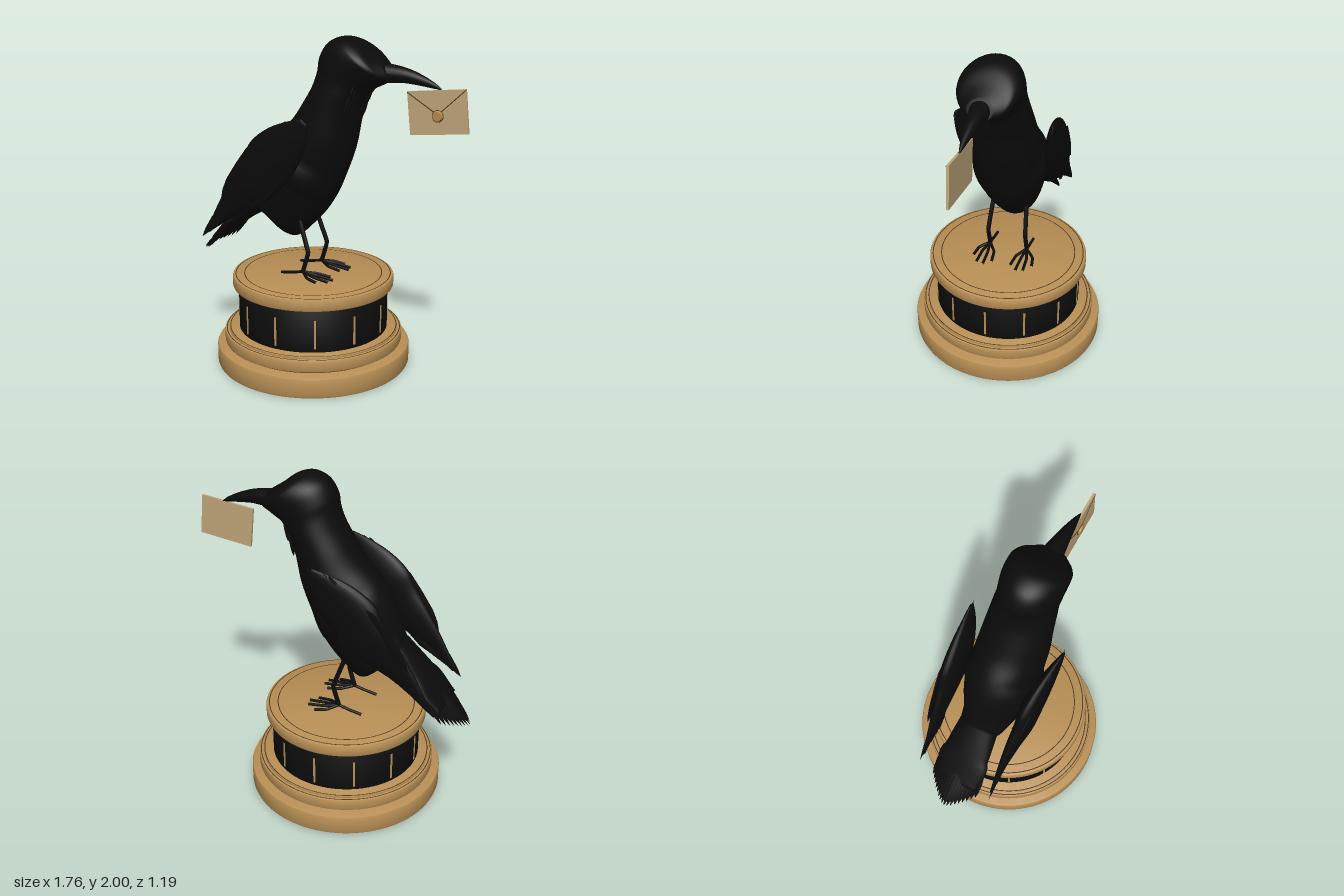
import * as THREE from 'three';
import { toCreasedNormals } from 'three/addons/utils/BufferGeometryUtils.js';

const mat = (name, color, side = THREE.FrontSide) => {
  const m = new THREE.MeshStandardMaterial({ color, side });
  m.name = name;
  return m;
};
const V = (x, y, z) => new THREE.Vector3(x, y, z);

// Loft of ellipses; each row is backX, backY, frontX, frontY, halfWidth, centreZ
function loft(rows, steps = 48, sides = 40) {
  const closed = (r) => {
    const x = (r[0] + r[2]) / 2, y = (r[1] + r[3]) / 2;
    return [x, y, x, y, 0, r[5] || 0];
  };
  const curve = (f) => new THREE.CatmullRomCurve3(rows.map(f));
  const back = curve((r) => V(r[0], r[1], 0));
  const front = curve((r) => V(r[2], r[3], 0));
  const width = curve((r) => V(r[4], r[5] || 0, 0));
  const rings = [closed(rows[0])];
  for (let i = 0; i <= steps; i++) {
    const b = back.getPoint(i / steps), f = front.getPoint(i / steps), w = width.getPoint(i / steps);
    rings.push([b.x, b.y, f.x, f.y, w.x, w.y]);
  }
  rings.push(closed(rows[rows.length - 1]));
  const pos = [], idx = [];
  rings.forEach(([bx, by, fx, fy, w, z], i) => {
    for (let j = 0; j < sides; j++) {
      const a = (j / sides) * Math.PI * 2, c = Math.cos(a);
      pos.push((bx + fx) / 2 + ((fx - bx) / 2) * c, (by + fy) / 2 + ((fy - by) / 2) * c, z + w * Math.sin(a));
      if (i === rings.length - 1) continue;
      const k = (j + 1) % sides, p = i * sides, q = p + sides;
      idx.push(p + j, q + j, p + k, p + k, q + j, q + k);
    }
  });
  const g = new THREE.BufferGeometry();
  g.setAttribute('position', new THREE.Float32BufferAttribute(pos, 3));
  g.setIndex(idx);
  g.computeVertexNormals();
  return g;
}

export function createModel() {
  const model = new THREE.Group();
  const black = mat('feather black', 0x0b0b0c);
  const drumBlack = mat('drum black', 0x0e0e0f);
  const gold = mat('pedestal gold', 0xb88f55);
  const groove = mat('groove brown', 0x4a3820);
  const paper = mat('envelope paper', 0xbfa579);
  const sealGold = mat('seal gold', 0xb58a4c);
  const eyeGrey = mat('eye grey', 0x34302b);

  const add = (parent, name, geo, material, x = 0, y = 0, z = 0) => {
    const m = new THREE.Mesh(geo, material);
    m.name = name;
    m.position.set(x, y, z);
    parent.add(m);
    return m;
  };

  // Pedestal: rounded discs, drum, grooves and twelve inlay strips
  const pedestal = new THREE.Group();
  pedestal.name = 'pedestal';
  pedestal.position.x = -0.085;
  model.add(pedestal);
  const disc = (name, r, y0, y1, bevel, material) => {
    const pts = [[0, y0], [r - bevel, y0], [r - bevel * 0.3, y0 + bevel * 0.3], [r, y0 + bevel],
      [r, y1 - bevel], [r - bevel * 0.3, y1 - bevel * 0.3], [r - bevel, y1], [0, y1]];
    const g = new THREE.LatheGeometry(pts.map((p) => new THREE.Vector2(...p)), 96);
    add(pedestal, name, toCreasedNormals(g, 0.6), material);
  };
  disc('bottomPlinth', 0.595, 0, 0.128, 0.014, gold);
  disc('plinthNeck', 0.52, 0.12, 0.15, 0.002, groove);
  disc('middleStep', 0.547, 0.14, 0.214, 0.01, gold);
  disc('stepRim', 0.52, 0.21, 0.226, 0.003, gold);
  disc('drum', 0.457, 0.22, 0.495, 0.002, drumBlack);
  disc('topPlate', 0.492, 0.488, 0.562, 0.012, gold);
  for (const [r, y] of [[0.42, 0.5625], [0.473, 0.5625], [0.514, 0.2265], [0.536, 0.2145]]) {
    const ring = add(pedestal, 'grooveRing', new THREE.RingGeometry(r - 0.003, r + 0.003, 96), groove, 0, y, 0);
    ring.rotation.x = -Math.PI / 2;
  }
  for (let i = 0; i < 12; i++) {
    const a = (i / 12) * Math.PI * 2;
    const s = add(pedestal, 'inlayStrip', new THREE.BoxGeometry(0.012, 0.175, 0.008), gold,
      0.457 * Math.sin(a), 0.335, 0.457 * Math.cos(a));
    s.rotation.y = a;
  }

  // Bird
  const bird = new THREE.Group();
  bird.name = 'bird';
  model.add(bird);
  add(bird, 'bodyAndHead', loft([
    [-0.50, 0.97, -0.46, 0.93, 0.08], [-0.46, 1.06, -0.34, 0.88, 0.13], [-0.43, 1.14, -0.20, 0.78, 0.15],
    [-0.40, 1.22, -0.08, 0.87, 0.185], [-0.36, 1.32, 0.03, 1.0, 0.205], [-0.29, 1.42, 0.12, 1.18, 0.205],
    [-0.19, 1.52, 0.185, 1.36, 0.2], [-0.12, 1.62, 0.22, 1.53, 0.188], [-0.06, 1.72, 0.265, 1.65, 0.178],
    [-0.03, 1.81, 0.31, 1.71, 0.17], [-0.02, 1.88, 0.36, 1.735, 0.172], [0.035, 1.965, 0.39, 1.75, 0.175],
    [0.13, 2.0, 0.405, 1.757, 0.172], [0.22, 1.98, 0.415, 1.76, 0.15], [0.31, 1.915, 0.425, 1.762, 0.11],
    [0.38, 1.868, 0.435, 1.765, 0.07]], 90), black);
  add(bird, 'beak', loft([
    [0.36, 1.865, 0.38, 1.75, 0.065], [0.50, 1.842, 0.50, 1.757, 0.043], [0.60, 1.807, 0.595, 1.748, 0.027],
    [0.68, 1.765, 0.67, 1.738, 0.012], [0.715, 1.738, 0.708, 1.733, 0.003]], 24, 24), black);

  // Flat pointed feather from a to b, its width lying along side
  const leaf = new THREE.LatheGeometry([[0.0, 0], [0.4, 0.1], [0.5, 0.4], [0.5, 0.7], [0.3, 0.88], [0, 1]]
    .map((p) => new THREE.Vector2(...p)), 8);
  const feather = (name, a, b, width, side, thick = 0.012) => {
    const y = b.clone().sub(a);
    const len = y.length();
    y.normalize();
    const z = side.clone().cross(y).normalize();
    const x = y.clone().cross(z);
    const m = add(bird, name, leaf, black);
    m.quaternion.setFromRotationMatrix(new THREE.Matrix4().makeBasis(x, y, z));
    m.scale.set(width, len, thick);
    m.position.copy(a);
  };

  // Tail: solid root and a fan of feathers
  add(bird, 'tailRoot', loft([
    [-0.74, 0.745, -0.72, 0.695, 0.14], [-0.6, 0.91, -0.55, 0.83, 0.14], [-0.45, 1.08, -0.38, 0.93, 0.12]], 16), black);
  for (let i = -8; i <= 8; i++) {
    const t = i / 8, k = Math.abs(t) ** 1.4;
    feather('tailFeather', V(-0.5, 0.97, t * 0.1), V(-0.88 + 0.13 * k, 0.607 + 0.05 * k, t * 0.15),
      0.05, V(0, 0, 1), 0.02);
  }

  // Throat hackles
  for (let i = -6; i <= 6; i++) {
    const z = i * 0.022, c = 1 - Math.abs(i) / 10;
    for (const d of [0, 1]) {
      feather('throatHackle', V(0.21 + 0.09 * c - d * 0.03, 1.74 - d * 0.07, z),
        V(0.18 + 0.085 * c - d * 0.03, 1.62 - d * 0.08, z * 1.05), 0.022, V(0, 0, 1));
    }
  }

  for (const s of [1, -1]) {
    // Wing: slim shell with layered feathers along its rear edge
    add(bird, 'wing', loft([
      [-0.70, 0.81, -0.68, 0.79, 0.008, 0.235], [-0.60, 1.0, -0.53, 0.91, 0.02, 0.235],
      [-0.50, 1.16, -0.40, 0.98, 0.035, 0.24], [-0.42, 1.28, -0.25, 1.05, 0.05, 0.25],
      [-0.36, 1.39, -0.12, 1.17, 0.055, 0.25], [-0.24, 1.48, -0.03, 1.30, 0.045, 0.26],
      [-0.10, 1.535, 0.02, 1.42, 0.025, 0.275], [0.0, 1.56, 0.035, 1.53, 0.008, 0.287],
    ].map((r) => [...r.slice(0, 5), r[5] * s]), 48, 28), black);
    for (let i = 0; i < 8; i++) {
      const t = i / 7;
      feather('flightFeather', V(-0.42 + 0.08 * t, 1.14 - 0.08 * t, s * 0.245),
        V(-0.735 + 0.19 * t, 0.755 + 0.145 * t, s * (0.24 - 0.03 * t)), 0.055, V(0.75, -0.66, 0));
      feather('covertFeather', V(-0.32 + 0.16 * t, 1.38 - 0.2 * t, s * 0.285),
        V(-0.57 + 0.2 * t, 1.03 - 0.04 * t, s * 0.262), 0.07, V(0.75, -0.66, 0));
    }
    for (let i = 0; i < 5; i++) {
      feather('shoulderFeather', V(-0.2 + i * 0.01, 1.38 - i * 0.03, s * 0.29),
        V(-0.1 + i * 0.035, 1.54 + i * 0.008, s * 0.285), 0.045, V(0.75, -0.66, 0));
    }

    // Leg and foot
    const tube = (name, pts, r) => add(bird, name,
      new THREE.TubeGeometry(new THREE.CatmullRomCurve3(pts, false, 'catmullrom', 0.1), 20, r, 8), black);
    const ankle = V(-0.09, 0.595, s * 0.12);
    tube('leg', [V(-0.13, 0.95, s * 0.1), V(-0.1, 0.86, s * 0.11), V(-0.053, 0.72, s * 0.12), ankle], 0.014);
    for (const [x, z] of [[0.07, 0.06], [0.11, 0.105], [0.1, 0.15], [0.04, 0.19], [-0.24, 0.12]]) {
      tube('toe', [ankle, V(-0.09 + (x + 0.09) * 0.45, 0.58, s * (0.12 + (z - 0.12) * 0.8)), V(x, 0.567, s * z)], 0.009);
    }

    // Eye
    const eye = add(bird, 'eye', new THREE.SphereGeometry(0.014, 16, 12), black, 0.285, 1.878, s * 0.142);
    const rim = add(bird, 'eyeRim', new THREE.TorusGeometry(0.015, 0.003, 8, 24), eyeGrey);
    rim.position.copy(eye.position);
    rim.rotation.y = s * 0.6;
  }

  // Envelope held at the beak tip
  const envelope = new THREE.Group();
  envelope.name = 'envelope';
  envelope.position.set(0.698, 1.611, 0.006);
  envelope.rotation.z = 0.102;
  model.add(envelope);
  add(envelope, 'envelopeSheet', new THREE.BoxGeometry(0.342, 0.243, 0.014), paper);
  for (const s of [1, -1]) {
    const fold = add(envelope, 'flapFold', new THREE.BoxGeometry(0.215, 0.005, 0.003), groove, s * 0.085, 0.052, 0.008);
    fold.rotation.z = s * Math.atan2(0.13, 0.17);
  }
  const seal = add(envelope, 'waxSeal', new THREE.CylinderGeometry(0.026, 0.033, 0.016, 32), sealGold, 0, -0.02, 0.014);
  seal.rotation.x = Math.PI / 2;
  add(envelope, 'sealRim', new THREE.TorusGeometry(0.032, 0.0025, 8, 32), groove, 0, -0.02, 0.008);
  return model;
}
